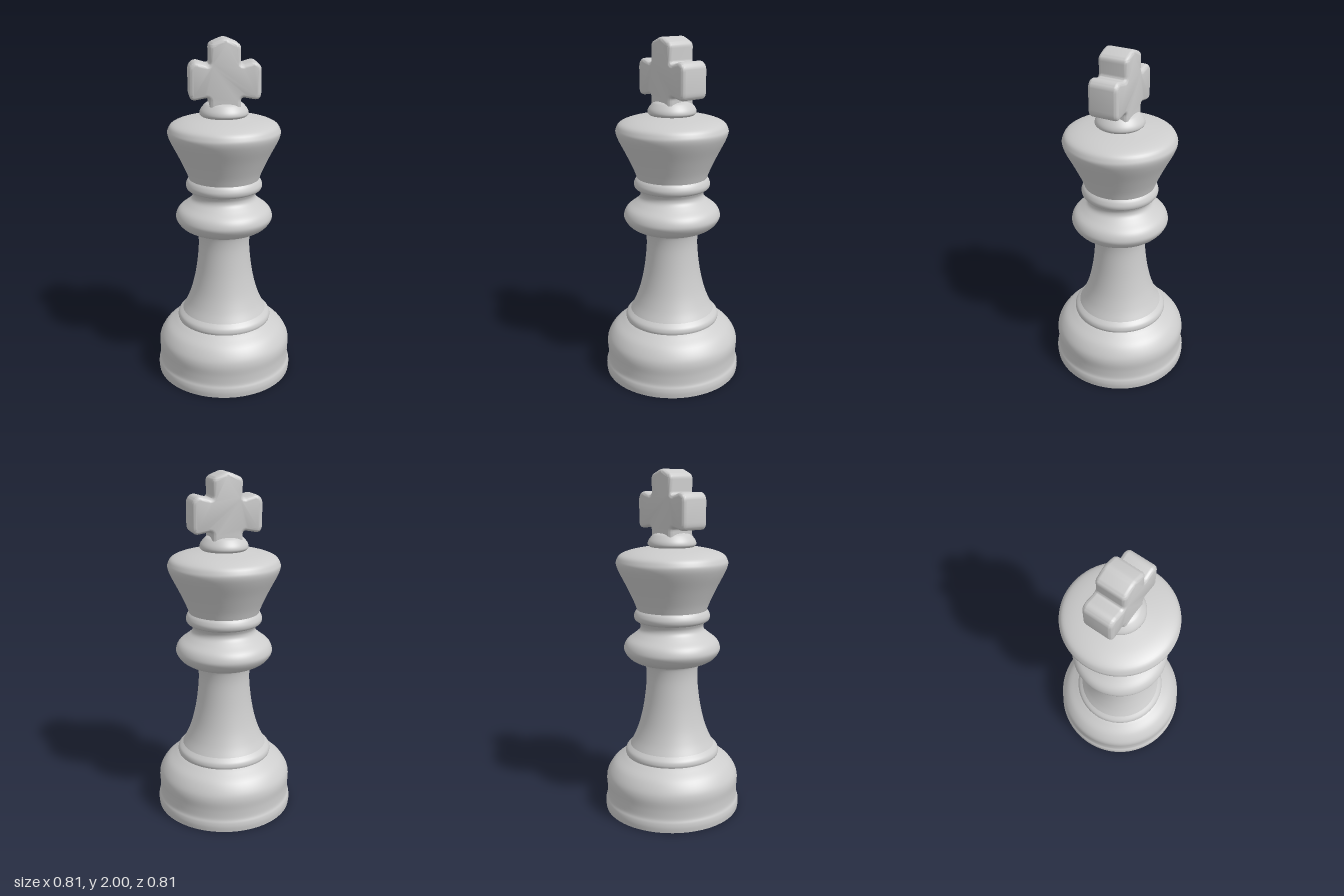
import * as THREE from 'three';
import { toCreasedNormals } from 'three/addons/utils/BufferGeometryUtils.js';

const v = (p) => new THREE.Vector2(p[0], p[1]);

// Outline with every corner rounded by up to radius r
function roundedShape(points, r) {
  const shape = new THREE.Shape();
  const n = points.length;
  points.forEach((p, i) => {
    const c = v(p), a = v(points[(i + n - 1) % n]), b = v(points[(i + 1) % n]);
    const toward = (q) => c.clone().add(q.clone().sub(c).setLength(Math.min(r, q.distanceTo(c) * 0.45)));
    const s = toward(a), e = toward(b);
    if (i === 0) shape.moveTo(s.x, s.y);
    else shape.lineTo(s.x, s.y);
    shape.quadraticCurveTo(c.x, c.y, e.x, e.y);
  });
  shape.closePath();
  return shape;
}

export function createModel() {
  const group = new THREE.Group();
  const stone = new THREE.MeshStandardMaterial({ color: 0xcccccc });
  stone.name = 'paleGrey';

  const add = (name, geometry) => {
    const mesh = new THREE.Mesh(geometry, stone);
    mesh.name = name;
    group.add(mesh);
    return mesh;
  };

  // Turned sections: [radius, height] from bottom to top, smoothed by a spline
  const sections = {
    base: [[0.403, 0], [0.406, 0.03], [0.403, 0.055], [0.395, 0.08], [0.394, 0.13], [0.397, 0.19],
      [0.385, 0.235], [0.35, 0.285], [0.3, 0.322], [0.277, 0.337]],
    baseRim: [[0.277, 0.337], [0.28, 0.352], [0.273, 0.373], [0.25, 0.395]],
    stem: [[0.25, 0.395], [0.222, 0.45], [0.193, 0.53], [0.17, 0.63], [0.156, 0.73], [0.15, 0.82],
      [0.156, 0.885], [0.17, 0.903]],
    collarRing: [[0.16, 0.903], [0.205, 0.907], [0.25, 0.932], [0.278, 0.97], [0.28, 1.0], [0.262, 1.035],
      [0.22, 1.068], [0.19, 1.095], [0.183, 1.12], [0.192, 1.143]],
    neckBand: [[0.192, 1.143], [0.214, 1.155], [0.221, 1.177], [0.214, 1.2], [0.203, 1.215]],
    crown: [[0.203, 1.215], [0.222, 1.265], [0.262, 1.35], [0.303, 1.43], [0.32, 1.475], [0.317, 1.502],
      [0.295, 1.532], [0.23, 1.556], [0.125, 1.575]],
    finialFoot: [[0.125, 1.575], [0.138, 1.588], [0.134, 1.61], [0.115, 1.636], [0.097, 1.65],
      [0.06, 1.662], [0, 1.668]],
  };
  for (const [name, points] of Object.entries(sections)) {
    const profile = new THREE.SplineCurve(points.map(v)).getPoints(points.length * 4);
    profile.forEach((p) => { p.x = Math.max(p.x, 0); });
    add(name, new THREE.LatheGeometry(profile, 72));
  }

  // Flat underside
  const underside = add('underside', new THREE.CircleGeometry(0.403, 72));
  underside.rotation.x = Math.PI / 2;

  // Cross with slightly flared arms and a peaked top
  const half = [[0.088, 1.61], [0.086, 1.69], [0.18, 1.672], [0.199, 1.695], [0.199, 1.855], [0.165, 1.885],
    [0.083, 1.86], [0.087, 1.972]];
  const outline = [...half, [0, 2.008], ...half.map(([x, y]) => [-x, y]).reverse()];
  const bevel = 0.022;
  const cross = new THREE.ExtrudeGeometry(roundedShape(outline, 0.025), {
    depth: 0.176 - 2 * bevel, curveSegments: 5, bevelEnabled: true,
    bevelThickness: bevel, bevelSize: bevel, bevelOffset: -bevel, bevelSegments: 5,
  });
  cross.translate(0, 0, -0.088 + bevel);
  add('cross', toCreasedNormals(cross, 0.7));

  return group;
}
